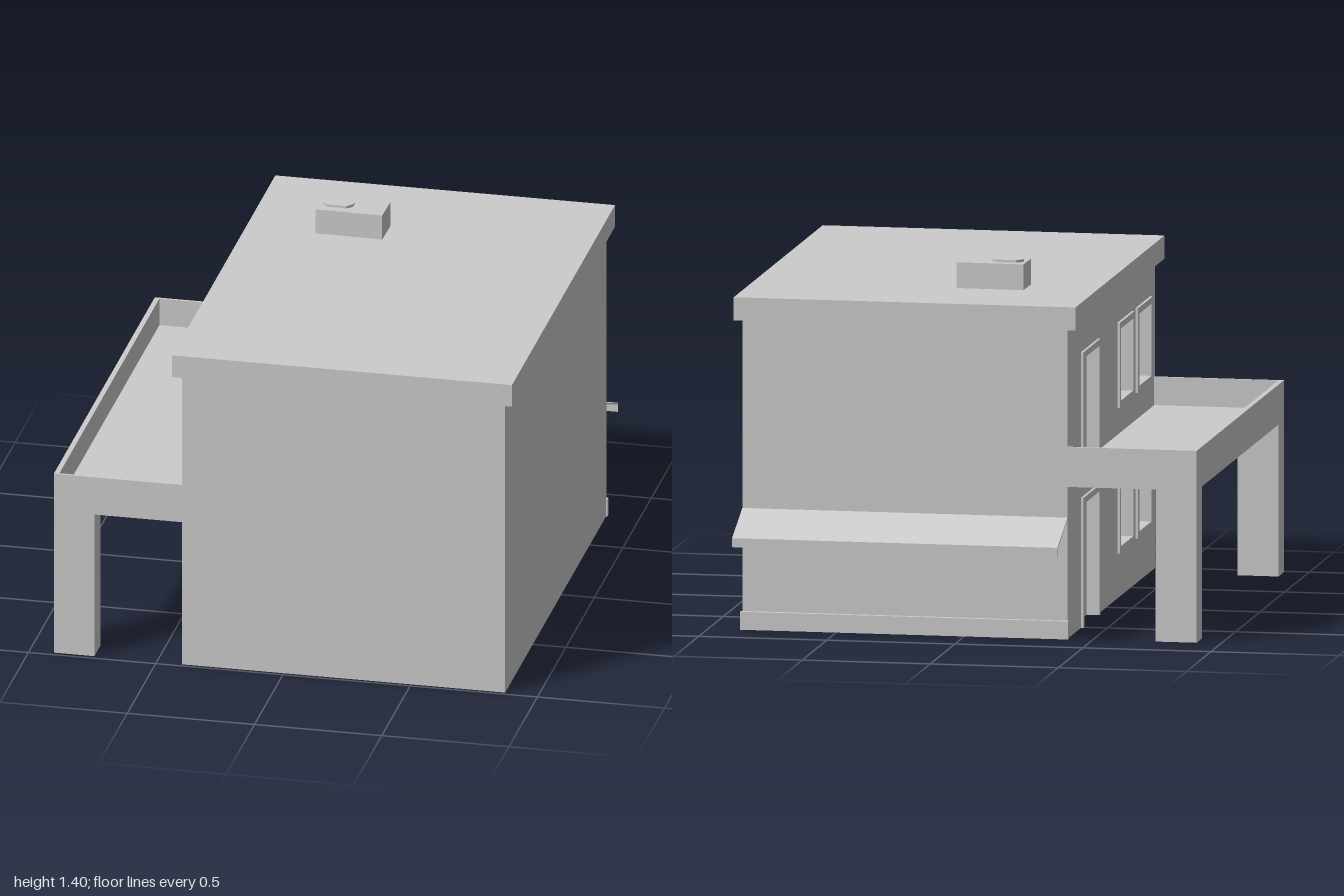
import * as THREE from 'three';

const plaster = new THREE.MeshStandardMaterial({ color: 0xcccccc });
plaster.name = 'plainGrey';
const plasterThin = plaster;
plasterThin.side = THREE.DoubleSide;

export function createModel() {
  const house = new THREE.Group();
  house.name = 'house';

  const add = (name, geometry, parent = house) => {
    const mesh = new THREE.Mesh(geometry, plaster);
    mesh.name = name;
    parent.add(mesh);
    return mesh;
  };
  // Box given by its limits on each axis
  const box = (name, x0, x1, y0, y1, z0, z1) =>
    add(name, new THREE.BoxGeometry(x1 - x0, y1 - y0, z1 - z0)
      .translate((x0 + x1) / 2, (y0 + y1) / 2, (z0 + z1) / 2));
  const points = (list) => list.map(([a, b]) => new THREE.Vector2(a, b));
  const rect = (z0, z1, y0, y1) => points([[z0, y0], [z1, y0], [z1, y1], [z0, y1]]);
  // Outline in (z, y), extruded towards -x from the given x
  const sidePanel = (name, shape, x, depth) =>
    add(name, new THREE.ExtrudeGeometry(shape, { depth, bevelEnabled: false })
      .rotateY(-Math.PI / 2).translate(x, 0, 0));

  // Main block and roof slab
  box('mainBlock', -0.36, 0.87, 0, 1.2, -0.79, 0.985);
  box('roofSlab', -0.435, 0.9, 1.2, 1.29, -0.81, 1);

  // Side wall with recessed openings; the ground door is a notch
  const d0 = -0.52, d1 = -0.17, doorTop = 0.505;
  const storeys = [0, 0.565];
  const windows = [[0.22, 0.52], [0.59, 0.89]];
  const wall = new THREE.Shape(points([
    [-0.79, 0], [d0, 0], [d0, doorTop], [d1, doorTop], [d1, 0],
    [0.985, 0], [0.985, 1.2], [-0.79, 1.2],
  ]));
  wall.holes.push(new THREE.Path(rect(d0, d1, 0.6, doorTop + 0.565)));
  for (const lift of storeys) {
    for (const [z0, z1] of windows) {
      wall.holes.push(new THREE.Path(rect(z0, z1, 0.175 + lift, doorTop + lift)));
    }
  }
  sidePanel('sideWall', wall, -0.36, 0.04);

  // Door and window frames, standing slightly proud of the wall
  const f = 0.025;
  for (const lift of storeys) {
    const top = doorTop + lift;
    const bottom = lift;
    sidePanel('doorFrame', new THREE.Shape(points([
      [d0, bottom], [d0 + f, bottom], [d0 + f, top - f], [d1 - f, top - f],
      [d1 - f, bottom], [d1, bottom], [d1, top], [d0, top],
    ])), -0.36, 0.05);
    for (const [z0, z1] of windows) {
      const frame = new THREE.Shape(rect(z0, z1, 0.175 + lift, top));
      frame.holes.push(new THREE.Path(rect(z0 + f, z1 - f, 0.175 + f + lift, top - f)));
      sidePanel('windowFrame', frame, -0.36, 0.05);
    }
  }

  // Balcony: floor, parapets and two posts
  box('balconyFloor', -0.905, -0.4, 0.59, 0.635, -0.795, 0.98);
  box('balconySideParapet', -0.905, -0.885, 0.635, 0.745, -0.795, 0.98);
  box('balconyBackParapet', -0.885, -0.4, 0.635, 0.745, -0.795, -0.785);
  box('balconyFrontParapet', -0.885, -0.4, 0.635, 0.745, 0.97, 0.98);
  box('backPost', -0.905, -0.745, 0, 0.59, -0.795, -0.685);
  box('frontPost', -0.905, -0.745, 0, 0.59, 0.87, 0.98);

  // Sloping awning with a hanging lip, and the plinth below it
  const awning = new THREE.Shape(points([
    [-0.79, 0.47], [-1, 0.385], [-1, 0.35], [-0.993, 0.35], [-0.993, 0.381], [-0.79, 0.464],
  ]));
  sidePanel('awning', awning, 0.87, 1.27);
  box('backPlinth', -0.405, 0.875, 0, 0.07, -0.81, -0.785);

  // Rooftop unit with an eight-sided vent cap
  const unit = new THREE.Group();
  unit.name = 'rooftopUnit';
  unit.position.set(-0.028, 1.29, -0.357);
  unit.rotation.y = -0.015;
  house.add(unit);
  add('unitCasing', new THREE.BoxGeometry(0.263, 0.1, 0.14).translate(0, 0.05, 0), unit);
  const cap = new THREE.Shape(points([
    [-0.06, -0.012], [-0.04, -0.034], [0.04, -0.034], [0.06, -0.012],
    [0.06, 0.012], [0.04, 0.034], [-0.04, 0.034], [-0.06, 0.012],
  ]));
  add('ventCap', new THREE.ExtrudeGeometry(cap, { depth: 0.01, bevelEnabled: false })
    .rotateX(-Math.PI / 2).translate(-0.057, 0.1, 0), unit);

  return house;
}
